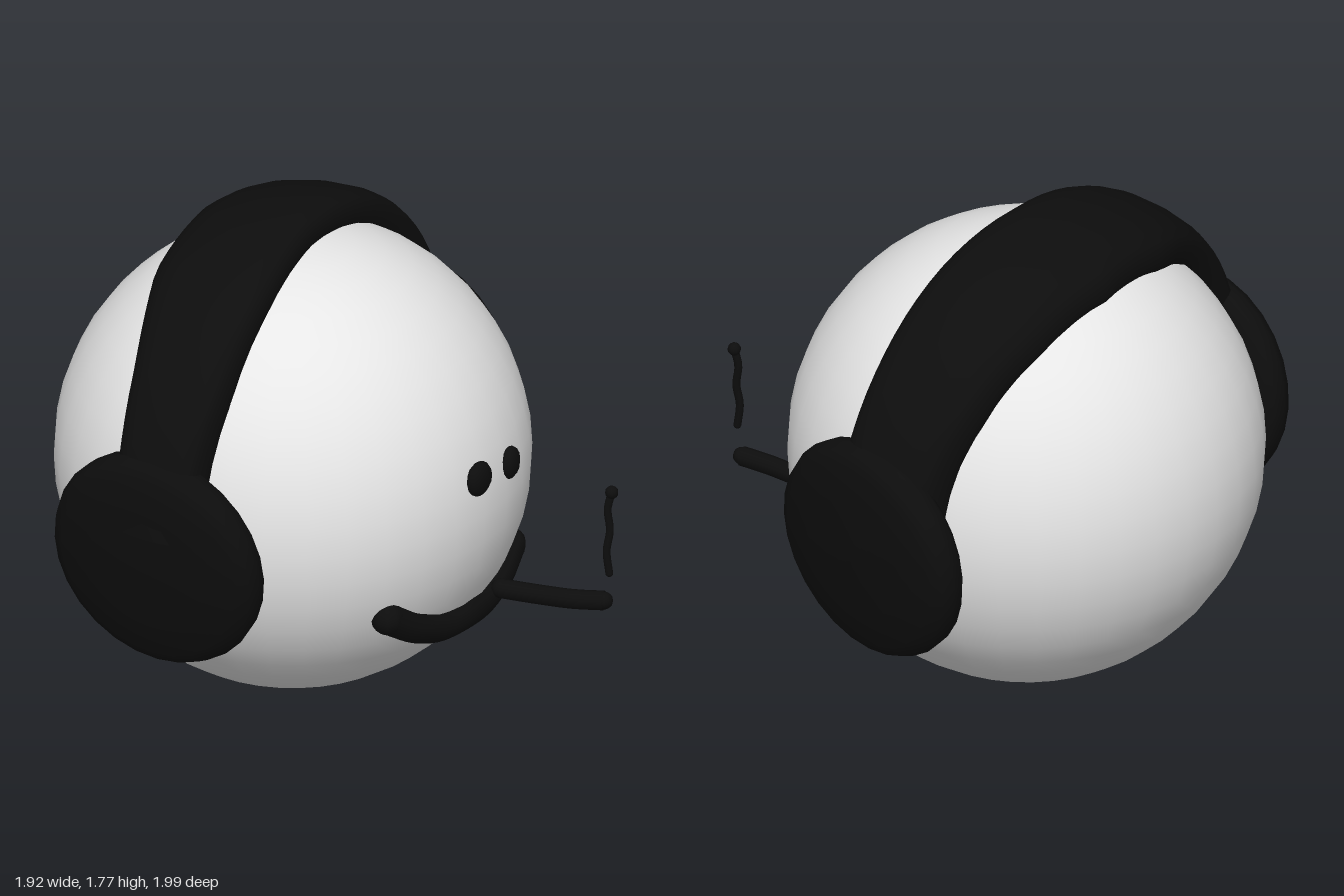
import * as THREE from 'three';

const HEAD = new THREE.Vector3(0, 0.835, -0.165);
const R = 0.835;

export function createModel() {
  const group = new THREE.Group();
  const white = new THREE.MeshStandardMaterial({ color: 0xe6e6e6 });
  white.name = 'white';
  const black = new THREE.MeshStandardMaterial({ color: 0x0d0d0d });
  black.name = 'black';

  const add = (name, geometry, material, parent = group) => {
    const mesh = new THREE.Mesh(geometry, material);
    mesh.name = name;
    parent.add(mesh);
    return mesh;
  };
  // Point on the head's front surface at a given x, y
  const onHead = (x, y) =>
    new THREE.Vector3(x, y, HEAD.z + Math.sqrt(R * R - x * x - (y - HEAD.y) ** 2));
  // Tube with rounded ends
  const roundTube = (name, points, radius, segments, endScale = 1) => {
    const part = new THREE.Group();
    part.name = name;
    const curve = new THREE.CatmullRomCurve3(points);
    add(name + 'Body', new THREE.TubeGeometry(curve, segments, radius, 10), black, part);
    [points[0], points[points.length - 1]].forEach((p, i) => {
      add(name + 'End', new THREE.SphereGeometry(radius * (i ? endScale : 1), 10, 8), black, part)
        .position.copy(p);
    });
    group.add(part);
  };

  // Head
  add('head', new THREE.SphereGeometry(R, 36, 24), white).position.copy(HEAD);

  // Headband: rounded section swept over the head, skewed and widest on top
  const lerpKeys = (keys, x) => {
    let i = 0;
    while (i < keys.length - 2 && x > keys[i + 1][0]) i++;
    const [a, b] = [keys[i], keys[i + 1]];
    const t = THREE.MathUtils.clamp((x - a[0]) / (b[0] - a[0]), 0, 1);
    return [1, 2].map((k) => THREE.MathUtils.lerp(a[k], b[k], t));
  };
  // x, centre z, half width
  const keys = [[-0.9, -0.11, 0.155], [-0.7, -0.15, 0.19], [-0.4, -0.245, 0.245], [0, -0.325, 0.25],
    [0.4, -0.355, 0.235], [0.7, -0.365, 0.205], [0.9, -0.36, 0.18]];
  const N = 36, M = 20, pos = [], index = [];
  for (let i = 0; i <= N; i++) {
    const phi = THREE.MathUtils.degToRad(176 - (172 * i) / N);
    const side = Math.cos(phi) ** 2;
    const [zc, hw] = lerpKeys(keys, Math.cos(phi) * 0.9);
    for (let j = 0; j < M; j++) {
      const a = (j / M) * Math.PI * 2;
      const c = Math.cos(a), s = Math.sin(a);
      const z = zc + hw * Math.sign(c) * Math.abs(c) ** 0.6 - HEAD.z;
      const shell = 0.86 + 0.012 * side + (0.075 + 0.018 * side) * Math.sign(s) * Math.abs(s) ** 0.6;
      const rho = Math.sqrt(shell * shell - z * z);
      pos.push(rho * Math.cos(phi), HEAD.y + rho * Math.sin(phi), z + HEAD.z);
      if (i < N) {
        const p = i * M + j, q = i * M + ((j + 1) % M);
        index.push(p, p + M, q, q, p + M, q + M);
      }
    }
  }
  const band = new THREE.BufferGeometry();
  band.setAttribute('position', new THREE.Float32BufferAttribute(pos, 3));
  band.setIndex(index);
  band.computeVertexNormals();
  const bandMaterial = black;
  bandMaterial.side = THREE.DoubleSide;
  add('headband', band, bandMaterial);

  // Ear cups: domed discs facing outwards
  const profile = [[0, -0.09], [0.3, -0.095], [0.375, -0.085], [0.405, -0.055], [0.412, -0.01],
    [0.395, 0.03], [0.35, 0.06], [0.22, 0.085], [0, 0.095]].map((p) => new THREE.Vector2(...p));
  const cup = new THREE.LatheGeometry(profile, 28);
  for (const [name, side, p, ry, rz] of [
    ['leftEarCup', 1, [0.855, 0.785, -0.283], 0.03, -0.07],
    ['rightEarCup', -1, [-0.85, 0.77, -0.125], 0.1, 0.1]]) {
    const holder = new THREE.Group();
    holder.name = name;
    holder.position.set(...p);
    holder.rotation.set(0, ry, rz);
    add(name + 'Disc', cup, black, holder).rotation.z = -side * Math.PI / 2;
    group.add(holder);
  }

  // Eyes: small flattened blobs
  for (const [name, x, y, w, h] of [
    ['rightEye', -0.018, 0.983, 0.063, 0.065], ['leftEye', 0.185, 0.957, 0.055, 0.06]]) {
    const eye = add(name, new THREE.SphereGeometry(1, 10, 8), black);
    eye.scale.set(w, h, 0.032);
    eye.position.copy(onHead(x, y));
    eye.rotation.y = Math.asin(x / R);
  }

  // Smiling mouth
  const smile = [[-0.37, 0.54], [-0.25, 0.465], [-0.1, 0.41], [0.03, 0.4], [0.17, 0.393],
    [0.3, 0.425], [0.43, 0.475]].map(([x, y]) => onHead(x, y));
  roundTube('mouth', smile, 0.06, 24);

  // Stick held in the mouth, and the wisp of smoke above its tip
  const path = (list) => list.map((p) => new THREE.Vector3(...p));
  roundTube('stick', path([[0.21, 0.432, 0.58], [0.255, 0.432, 0.72], [0.285, 0.44, 0.84],
    [0.325, 0.45, 0.945]]), 0.035, 10, 0.9);
  roundTube('smoke', path([[0.325, 0.565, 0.967], [0.322, 0.65, 0.958], [0.333, 0.73, 0.964],
    [0.332, 0.81, 0.955], [0.342, 0.875, 0.965]]), 0.014, 16, 1.7);

  return group;
}
